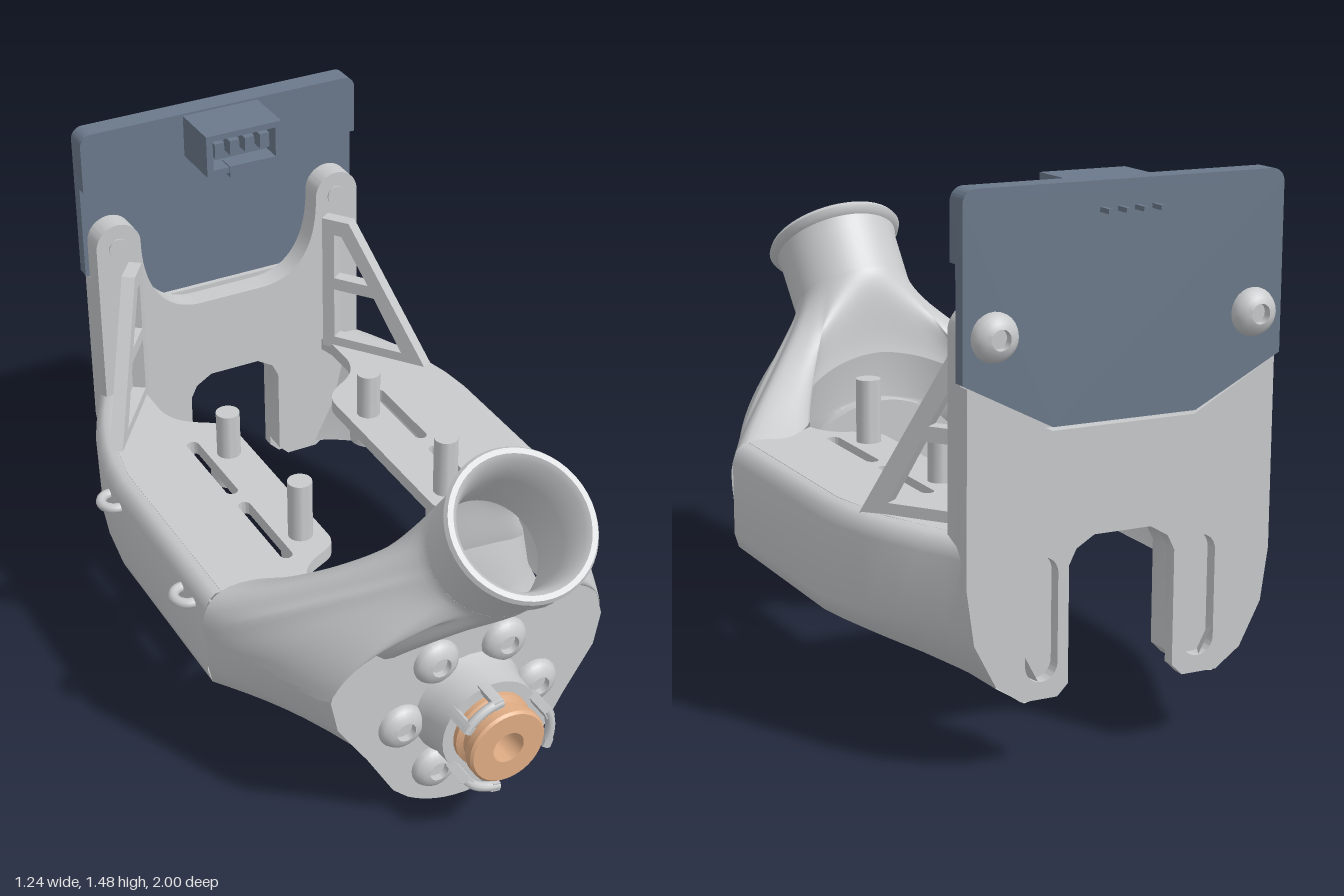
import * as THREE from 'three';
import { toCreasedNormals } from 'three/addons/utils/BufferGeometryUtils.js';

const V = (x, y, z) => new THREE.Vector3(x, y, z);
const P = (x, y) => new THREE.Vector2(x, y);
const { lerp, smoothstep } = THREE.MathUtils;

export function createModel() {
  const model = new THREE.Group();
  model.position.x = 0.022;
  const grey = new THREE.MeshStandardMaterial({ color: 0xc8cacc, side: THREE.DoubleSide });
  const blue = new THREE.MeshStandardMaterial({ color: 0x6b798b, side: THREE.DoubleSide });
  const copper = new THREE.MeshStandardMaterial({ color: 0xdfac84, side: THREE.DoubleSide });
  grey.name = 'light grey plastic';
  blue.name = 'slate blue board';
  copper.name = 'copper';

  const add = (name, geo, mat, x = 0, y = 0, z = 0) => {
    const m = new THREE.Mesh(geo, mat);
    m.name = name;
    m.position.set(x, y, z);
    model.add(m);
    return m;
  };
  const box = (name, mat, w, h, d, x, y, z) => add(name, new THREE.BoxGeometry(w, h, d), mat, x, y, z);
  const both = f => [1, -1].forEach(f);
  const crease = (g, a = 0.6) => toCreasedNormals(g, a);
  const extrude = (shape, depth) =>
    crease(new THREE.ExtrudeGeometry(shape, { depth, bevelEnabled: false, curveSegments: 20 }));
  const lathe = (pts, seg = 32) => crease(new THREE.LatheGeometry(pts.map(p => P(...p)), seg));
  const poly = pts => new THREE.Shape(pts.map(p => P(...p)));
  const disc = r => new THREE.Path().absarc(0, 0.325, r, 0, Math.PI * 2);
  // rounded slot
  const slot = (x, y0, y1, r) => {
    const p = new THREE.Path();
    p.absarc(x, y0 + r, r, Math.PI, 2 * Math.PI);
    p.absarc(x, y1 - r, r, 0, Math.PI);
    p.closePath();
    return p;
  };
  // skin rows of points with equal counts
  const grid = rows => {
    const n = rows[0].length, idx = [];
    for (let i = 0; i < rows.length - 1; i++) for (let j = 0; j < n - 1; j++) {
      const a = i * n + j, b = a + n;
      idx.push(a, b, a + 1, b, b + 1, a + 1);
    }
    const g = new THREE.BufferGeometry().setFromPoints(rows.flat());
    g.setIndex(idx);
    g.computeVertexNormals();
    return g;
  };

  // front mounting plate: round core, lower skirt and a thin face reaching out to the cheeks
  const half = [[0.14, 0.58], [0.26, 0.57], [0.34, 0.66], [0.40, 0.56], [0.42, 0.48], [0.40, 0.38], [0.31, 0.24], [0.23, 0.1]];
  const arc = [];
  for (let a = -0.6; a <= 0.61; a += 0.1) arc.push([0.325 * Math.sin(-a), 0.325 - 0.325 * Math.cos(a)]);
  const face = poly([...half, ...arc, ...half.map(([x, y]) => [-x, y]).reverse()]);
  face.holes.push(disc(0.05));
  add('frontFace', extrude(face, 0.02), grey, 0, 0, 0.59);
  const core = new THREE.Shape(disc(0.3).getPoints(48));
  core.holes.push(disc(0.05));
  add('frontPlate', extrude(core, 0.11), grey, 0, 0, 0.48);
  add('frontSkirt', extrude(poly([[0.28, 0.2], [0.23, 0.1], ...arc, [-0.23, 0.1], [-0.28, 0.2]]), 0.105), grey, 0, 0, 0.483);

  // neck tube with rolled rim
  const tilt = 0.70, axis = V(0, Math.cos(tilt), Math.sin(tilt)), base = V(0, 0.9, 0.703);
  const neck = add('neckTube', lathe([[0.15, -0.06], [0.15, 0.115], [0.172, 0.205], [0.185, 0.22], [0.2, 0.22],
    [0.207, 0.208], [0.2, 0.193], [0.187, 0.185], [0.182, 0.155], [0.18, 0]], 48), grey);
  neck.position.copy(base);
  neck.rotation.x = tilt;

  // hood flowing from the neck to the plate, the arms and the top opening
  const arch = [V(0.317, 0.635, 0.29), V(0.3, 0.655, 0.38), V(0.235, 0.7, 0.455), V(0.125, 0.745, 0.5), V(0, 0.765, 0.515)];
  const ring = [V(0, 0.58, 0.61), V(0.14, 0.58, 0.61), V(0.26, 0.57, 0.61), V(0.34, 0.66, 0.61),
    V(0.40, 0.56, 0.61), V(0.42, 0.48, 0.60), V(0.50, 0.47, 0.40), V(0.588, 0.46, 0.2), V(0.588, 0.57, 0.2),
    V(0.54, 0.62, 0.2), V(0.42, 0.62, 0.2), ...arch];
  const mirrored = pts => pts.map(p => V(-p.x, p.y, p.z)).reverse();
  const rim = new THREE.CatmullRomCurve3([...ring, ...mirrored(ring.slice(1, -1))], true, 'centripetal');
  const lines = [];
  for (let i = 0; i <= 120; i++) {
    const t = i / 120, phi = t * Math.PI * 2;
    const end = rim.getPoint(t % 1);
    const start = base.clone().add(V(0.18 * Math.sin(phi), -0.18 * Math.cos(phi) * Math.sin(tilt),
      0.18 * Math.cos(phi) * Math.cos(tilt)));
    const low = 1 - smoothstep(end.y, 0.46, 0.58);
    const rise = 0.2 + 0.15 * smoothstep(end.z, 0.2, 0.6) + 0.2 * low;
    const c1 = start.clone().addScaledVector(axis, -0.06);
    const c2 = V(lerp(end.x, start.x, 0.25 - 0.15 * low), lerp(end.y, start.y, rise), lerp(end.z, start.z, 0.35));
    lines.push(new THREE.CubicBezierCurve3(start, c1, c2, end).getPoints(16));
  }
  add('hood', grid(lines), grey);

  // rolled inner lip of the hood, running down to the plate
  const lip = [V(0.317, 0.58, 0.29), V(0.305, 0.57, 0.4), V(0.24, 0.585, 0.48), V(0.13, 0.61, 0.52), V(0, 0.63, 0.53)];
  const foot = [V(0.33, 0.46, 0.5), V(0.27, 0.48, 0.51), V(0.2, 0.54, 0.51), V(0.1, 0.595, 0.51), V(0, 0.61, 0.51)];
  add('hoodLip', grid([arch, lip, foot].map(r =>
    new THREE.CatmullRomCurve3([...r, ...mirrored(r.slice(0, -1))]).getPoints(40))), grey);

  both(s => {
    // lower cheek joining the plate to the arm
    const a = [V(0.42, 0.48, 0.6), V(0.40, 0.38, 0.6), V(0.31, 0.25, 0.57), V(0.25, 0.15, 0.5), V(0.22, 0.2, 0.5), V(0.31, 0.46, 0.5)];
    const b = [V(0.588, 0.46, 0.2), V(0.588, 0.38, 0.2), V(0.576, 0.32, 0.2), V(0.538, 0.30, 0.2), V(0.478, 0.31, 0.2), V(0.52, 0.46, 0.2)];
    const rows = [];
    for (let i = 0; i <= 8; i++) {
      const t = i / 8, sag = 0.02 * Math.sin(Math.PI * t);
      rows.push(a.map((p, j) => p.clone().lerp(b[j], t)).map(p => V(p.x * s, p.y + (p.y < 0.36 ? sag : 0), p.z)));
    }
    add('cheek', crease(grid(rows), 0.9), grey);

    // hollow arm wall, curving in and tucking under at the rear: z, half width, bottom, tuck
    const stations = [[0.2, 0.588, 0.3, 0], [-0.42, 0.588, 0.3, 0], [-0.52, 0.578, 0.297, 0.01], [-0.62, 0.556, 0.29, 0.02],
      [-0.72, 0.523, 0.275, 0.04], [-0.8, 0.488, 0.252, 0.06], [-0.87, 0.452, 0.225, 0.08], [-0.95, 0.42, 0.19, 0.1]];
    add('armWall', crease(grid(stations.map(([z, w, y, k]) => [[0.06, 0.62], [0.03, 0.617], [0.01, 0.6], [0, 0.57],
      [k * 0.2, y + 0.06 + k * 1.2], [0.012 + k * 0.6, y + 0.02 + k * 0.3], [0.05 + k, y], [0.11 + k, y + 0.01],
      [0.07 + k * 0.6, y + 0.1 + k * 0.6], [0.06, 0.6]]
      .map(([d, h]) => V(s * (w - d), h, z)))), 0.9), grey);

    // slotted top flange
    const f = new THREE.Shape();
    f.moveTo(s * 0.54, 0.22);
    [[0.54, -0.43], [0.5, -0.64], [0.43, -0.8], [0.4, -0.87], [0.3, -0.87], [0.317, -0.8], [0.317, -0.7]]
      .forEach(([x, z]) => f.lineTo(s * x, z));
    f.bezierCurveTo(s * 0.3, -0.56, s * 0.164, -0.6, s * 0.164, -0.48);
    f.lineTo(s * 0.164, 0.1);
    f.bezierCurveTo(s * 0.164, 0.2, s * 0.29, 0.14, s * 0.317, 0.29);
    f.lineTo(s * 0.4, 0.22);
    f.holes.push(slot(s * 0.31, -0.5, -0.2, 0.018), slot(s * 0.31, -0.15, 0.15, 0.018));
    add('flange', extrude(f, 0.04).rotateX(Math.PI / 2), grey, 0, 0.62, 0);

    // standing posts with bosses underneath
    [[0.065, 0.8], [-0.4, 0.76]].forEach(([z, top]) => {
      add('post', crease(new THREE.CylinderGeometry(0.035, 0.035, top - 0.55, 24)), grey, s * 0.232, (top + 0.55) / 2, z);
      add('boss', crease(new THREE.CylinderGeometry(0.055, 0.055, 0.06, 24)), grey, s * 0.232, 0.56, z);
    });

    // triangular truss brace
    const br = poly([[0, 0], [0.355, 0], [0.09, 0.45], [0, 0.45]]);
    br.holes.push(poly([[0.04, 0.25], [0.155, 0.25], [0.065, 0.4], [0.04, 0.4]]),
      poly([[0.04, 0.04], [0.27, 0.04], [0.175, 0.21], [0.04, 0.21]]));
    const brace = add('brace', extrude(br, 0.04).translate(0, 0, -0.02), grey, s * 0.315, 0.61, -0.84);
    brace.rotation.y = -Math.atan2(0.29, s * 0.215);
  });

  // rear wall: front layer with tabs, back layer with leg pockets ending under the board
  const wall = (name, depth, z, low, pockets, top) => {
    const w = new THREE.Shape();
    const side = [[0.08, 0.6], [0.13, 0.57], [0.15, 0.53], [0.15, low + 0.03], [0.18, low],
      [0.28, low], [0.35, low + 0.05], [0.41, 0.36], [0.43, 0.5]];
    w.moveTo(-0.08, 0.6);
    side.forEach(p => w.lineTo(...p));
    top(w);
    side.slice(1).reverse().forEach(([x, y]) => w.lineTo(-x, y));
    if (pockets) both(s => w.holes.push(slot(s * 0.225, 0.24, 0.56, 0.045)));
    add(name, extrude(w, depth), grey, 0, 0, z);
  };
  wall('rearWall', 0.07, -0.92, 0.225, false, w => {
    w.lineTo(0.43, 1.12);
    w.absarc(0.36, 1.12, 0.07, 0, Math.PI);
    w.bezierCurveTo(0.29, 0.95, 0.22, 0.86, 0.1, 0.86);
    w.lineTo(-0.1, 0.86);
    w.bezierCurveTo(-0.22, 0.86, -0.29, 0.95, -0.29, 1.12);
    w.absarc(-0.36, 1.12, 0.07, 0, Math.PI);
  });
  wall('rearLedge', 0.035, -0.955, 0.195, true, w =>
    [[0.43, 1.0], [0.2, 0.875], [-0.2, 0.875], [-0.43, 1.0]].forEach(p => w.lineTo(...p)));

  // circuit board with a thicker upper band
  const board = lower => {
    const b = new THREE.Shape();
    b.moveTo(-0.443, lower ? 1.01 : 1.295);
    if (lower) { b.lineTo(-0.2, 0.885); b.lineTo(0.2, 0.885); }
    b.lineTo(0.443, lower ? 1.01 : 1.295);
    b.lineTo(0.443, 1.44);
    b.absarc(0.408, 1.44, 0.035, 0, Math.PI / 2);
    b.absarc(-0.408, 1.44, 0.035, Math.PI / 2, Math.PI);
    return b;
  };
  add('board', extrude(board(true), 0.038), blue, 0, 0, -0.958);
  add('boardBand', extrude(board(false), 0.03), blue, 0, 0, -0.92);

  // connector: housing open to the front, sockets, latch and pins
  box('connectorBack', blue, 0.23, 0.12, 0.1, 0, 1.405, -0.84);
  both(s => {
    box('connectorSide', blue, 0.02, 0.125, 0.16, s * 0.11, 1.405, -0.81);
    box('connectorRail', blue, 0.24, 0.018, 0.16, 0, 1.405 + s * 0.055, -0.81);
  });
  box('connectorLatch', blue, 0.1, 0.035, 0.05, 0, 1.345, -0.75);
  for (let i = 0; i < 4; i++) {
    const x = (i - 1.5) * 0.048;
    box('socket', blue, 0.03, 0.045, 0.05, x, 1.41, -0.77);
    box('pin', blue, 0.012, 0.012, 0.045, x, 1.405, -0.978);
  }

  // dome screws
  const screw = (r, h) => lathe([[0, h * 0.4], [r * 0.42, h * 0.4], [r * 0.42, h], [r * 0.65, h * 0.88],
    [r * 0.88, h * 0.55], [r, h * 0.15], [r, 0]], 24).rotateX(Math.PI / 2);
  const rod = (r, len) => crease(new THREE.CylinderGeometry(r, r, len, 24).rotateX(Math.PI / 2));
  both(s => {
    add('boardScrew', screw(0.062, 0.04).rotateY(Math.PI), grey, s * 0.36, 1.12, -0.958);
    add('boardScrewTip', rod(0.03, 0.01), grey, s * 0.36, 1.115, -0.851);
  });
  for (let i = 0; i < 6; i++) {
    const a = i * Math.PI / 3, x = 0.21 * Math.cos(a), y = 0.325 + 0.21 * Math.sin(a);
    add('plateScrew', screw(0.068, 0.036), grey, x, y, 0.61);
    add('plateScrewTip', rod(0.033, 0.06), grey, x, y, 0.455);
  }

  // hub cage: flared collar and three looped fingers
  add('hubCollar', lathe([[0.05, 0], [0.165, 0], [0.152, 0.04], [0.148, 0.12], [0.05, 0.12]]).rotateX(Math.PI / 2),
    grey, 0, 0.325, 0.61);
  for (let i = 0; i < 3; i++) {
    const mid = i * Math.PI * 2 / 3;
    both(s => {
      const c = mid + s * 0.36, sh = new THREE.Shape();
      sh.absarc(0, 0, 0.158, c - 0.09, c + 0.09, false);
      sh.absarc(0, 0, 0.132, c + 0.09, c - 0.09, true);
      add('hubFinger', extrude(sh, 0.09), grey, 0, 0.325, 0.72);
    });
    add('hubHook', new THREE.TorusGeometry(0.145, 0.014, 10, 20, 0.9).rotateZ(mid - 0.45), grey, 0, 0.325, 0.8);
  }
  // grooved roller
  add('roller', lathe([[0.047, 0], [0.115, 0], [0.115, 0.02], [0.098, 0.03], [0.098, 0.06], [0.115, 0.07],
    [0.115, 0.093], [0.108, 0.1], [0.047, 0.1], [0.047, 0]], 40).rotateX(Math.PI / 2), copper, 0, 0.325, 0.725);

  // cable loops and inner bar on the right arm
  [-0.43, 0.08].forEach(z => add('cableLoop',
    new THREE.TorusGeometry(0.04, 0.015, 10, 20, Math.PI).rotateX(Math.PI / 2).rotateY(-Math.PI / 2), grey, -0.587, 0.545, z));
  add('innerBar', rod(0.012, 0.58), grey, -0.52, 0.5, -0.17);
  return model;
}
